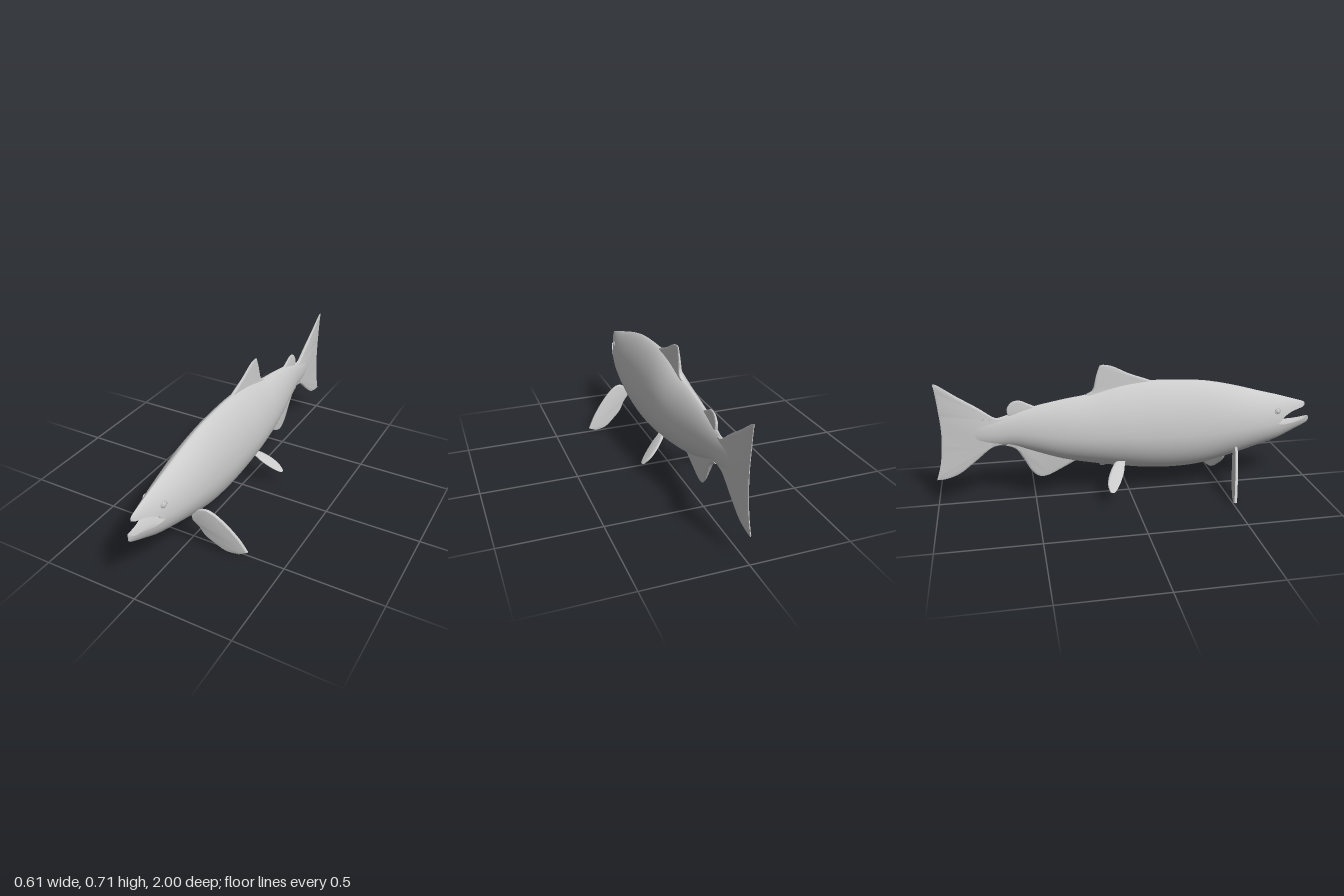
import * as THREE from 'three';
import { mergeVertices, toCreasedNormals } from 'three/addons/utils/BufferGeometryUtils.js';

const material = new THREE.MeshStandardMaterial({ color: 0xcccccc, side: THREE.DoubleSide });

// Body stations: z, belly y, back y, half width, lower lip y, upper lip y
const STATIONS = [
  [-0.84, 0.34, 0.43, 0.0, 0, 0],
  [-0.77, 0.325, 0.44, 0.011, 0, 0],
  [-0.68, 0.31, 0.457, 0.021, 0, 0],
  [-0.6, 0.3, 0.48, 0.033, 0, 0],
  [-0.5, 0.265, 0.508, 0.05, 0, 0],
  [-0.35, 0.212, 0.537, 0.074, 0, 0],
  [-0.2, 0.178, 0.56, 0.095, 0, 0],
  [-0.05, 0.15, 0.595, 0.108, 0, 0],
  [0.1, 0.128, 0.612, 0.11, 0, 0],
  [0.25, 0.12, 0.609, 0.109, 0, 0],
  [0.4, 0.13, 0.596, 0.105, 0, 0],
  [0.55, 0.165, 0.565, 0.098, 0, 0],
  [0.7, 0.207, 0.523, 0.08, 0.34, 0.34],
  [0.8, 0.236, 0.496, 0.06, 0.34, 0.34],
  [0.85, 0.256, 0.483, 0.049, 0.335, 0.378],
  [0.9, 0.28, 0.47, 0.037, 0.338, 0.4],
  [0.95, 0.303, 0.457, 0.025, 0.347, 0.411],
  [0.985, 0.322, 0.447, 0.014, 0.357, 0.417],
  [1.0, 0.338, 0.437, 0.0, 0.36, 0.424],
];
const MOUTH_Z = 0.8, ROWS = 10, STEPS = 4;

// Smoothly interpolated sections, each with a lower and an upper run of side points
function makeSections() {
  const curve = (a, b, c) => new THREE.CatmullRomCurve3(
    STATIONS.map(s => new THREE.Vector3(s[a], s[b], s[c])), false, 'catmullrom', 0.5);
  const outline = curve(0, 1, 2), lips = curve(3, 4, 5);
  const count = (STATIONS.length - 1) * STEPS;
  return Array.from({ length: count + 1 }, (_, i) => {
    const { x: z, y: lo, z: hi } = outline.getPoint(i / count);
    const lip = lips.getPoint(i / count);
    const w = Math.max(lip.x, 0), mid = lo + 0.43 * (hi - lo);
    const open = z > MOUTH_Z + 1e-4;
    const low = open ? lip.y : mid, high = open ? Math.max(lip.z, low) : mid;
    const angle = y => Math.asin(THREE.MathUtils.clamp(
      (y - mid) / (y > mid ? hi - mid : mid - lo), -1, 1));
    const run = (from, to, zz) => Array.from({ length: ROWS + 1 }, (_, j) => {
      const a = from + (to - from) * j / ROWS, s = Math.sin(a);
      return [w * Math.pow(Math.max(Math.cos(a), 0), 1.4),
        mid + s * (s > 0 ? hi - mid : mid - lo), zz];
    });
    // The upper jaw is a little shorter than the lower one
    const zUp = open ? MOUTH_Z + (z - MOUTH_Z) * 0.86 : z;
    return { z, open, gap: high - low,
      lower: run(-Math.PI / 2, angle(low), z), upper: run(angle(high), Math.PI / 2, zUp) };
  });
}

function surface(name, tris) {
  let g = new THREE.BufferGeometry();
  g.setAttribute('position', new THREE.Float32BufferAttribute(tris.flat(), 3));
  g = mergeVertices(g, 1e-4);
  g.computeVertexNormals();
  const mesh = new THREE.Mesh(g, material);
  mesh.name = name;
  return mesh;
}

const flip = p => [-p[0], p[1], p[2]];

function makeBody(sections) {
  const tris = [];
  for (let i = 0; i + 1 < sections.length; i++) {
    for (const part of ['lower', 'upper']) {
      const p = sections[i][part], q = sections[i + 1][part];
      for (let j = 0; j < ROWS; j++) {
        const [a, b, c, d] = [p[j], p[j + 1], q[j], q[j + 1]];
        tris.push(a, b, c, b, d, c);
        tris.push(...[a, c, b, b, c, d].map(flip));
      }
    }
  }
  return surface('body', tris);
}

// Roof or floor of the mouth, stretched between the two lips
function makeLining(name, sections, part, row, sign) {
  const tris = [];
  const head = sections.filter(s => s.z > MOUTH_Z - 1e-4);
  const strip = head.map(s => {
    const e = s[part][row];
    return [e, [0, e[1] + sign * Math.min(e[0], 0.25 * s.gap), e[2]], flip(e)];
  });
  for (let i = 0; i + 1 < strip.length; i++) {
    for (let k = 0; k < 2; k++) {
      const [a, b, c, d] = [strip[i][k], strip[i][k + 1], strip[i + 1][k], strip[i + 1][k + 1]];
      tris.push(...(sign > 0 ? [a, c, b, b, c, d] : [a, b, c, b, d, c]));
    }
  }
  return surface(name, tris);
}

// Thin blade from smooth outline runs; corners stay sharp between runs
function blade(runs, half) {
  const shape = new THREE.Shape();
  shape.moveTo(...runs[0][0]);
  runs.forEach((run, i) => {
    const pts = run.slice(i ? 0 : 1).map(p => new THREE.Vector2(...p));
    if (pts.length === 1) shape.lineTo(pts[0].x, pts[0].y);
    else shape.splineThru(pts);
  });
  const g = new THREE.ExtrudeGeometry(shape, {
    depth: half, bevelEnabled: true, bevelThickness: half / 2, bevelSize: half * 0.8,
    bevelOffset: -half * 0.8, bevelSegments: 2, curveSegments: 12,
  });
  return g.translate(0, 0, -half / 2);
}

function deform(g, rule) {
  const p = g.attributes.position;
  for (let i = 0; i < p.count; i++) p.setXYZ(i, ...rule(p.getX(i), p.getY(i), p.getZ(i)));
  return toCreasedNormals(g, 0.7);
}

// Fin on the centre plane, outlined in (z, y), thinning from root to edge
function medianFin(name, runs, half, thin) {
  const g = blade(runs, half).rotateY(-Math.PI / 2);
  const mesh = new THREE.Mesh(deform(g, (x, y, z) => [x * thin(y, z), y, z]), material);
  mesh.name = name;
  return mesh;
}

function pair(name, geometry) {
  const group = new THREE.Group();
  group.name = name + 's';
  for (const side of [1, -1]) {
    const mesh = new THREE.Mesh(geometry, material);
    mesh.scale.x = side;
    mesh.name = (side > 0 ? 'left ' : 'right ') + name;
    group.add(mesh);
  }
  return group;
}

export function createModel() {
  const model = new THREE.Group();
  model.name = 'fish';
  const ramp = THREE.MathUtils.mapLinear, clamp = THREE.MathUtils.clamp;
  const sections = makeSections();
  model.add(makeBody(sections),
    makeLining('mouth roof', sections, 'upper', 0, 1),
    makeLining('mouth floor', sections, 'lower', ROWS, -1));

  // Fins along the centre line
  model.add(medianFin('dorsal fin', [
    [[0.13, 0.6], [0.1, 0.617], [0, 0.655], [-0.08, 0.695], [-0.13, 0.707], [-0.152, 0.703]],
    [[-0.17, 0.65], [-0.188, 0.58], [-0.22, 0.557]], [[-0.2, 0.5]], [[0.1, 0.55]],
  ], 0.011, y => clamp(ramp(y, 0.56, 0.7, 1, 0.35), 0.3, 1)));
  model.add(medianFin('adipose fin', [
    [[-0.48, 0.505], [-0.52, 0.525], [-0.56, 0.543], [-0.6, 0.537], [-0.625, 0.505], [-0.625, 0.475]],
    [[-0.6, 0.44]], [[-0.5, 0.45]],
  ], 0.009, y => clamp(ramp(y, 0.48, 0.54, 1, 0.5), 0.4, 1)));
  model.add(medianFin('anal fin', [
    [[-0.28, 0.2], [-0.36, 0.158], [-0.43, 0.125], [-0.48, 0.125], [-0.52, 0.165],
      [-0.55, 0.22], [-0.59, 0.285], [-0.64, 0.308]],
    [[-0.58, 0.36]], [[-0.32, 0.28]],
  ], 0.014, y => clamp(ramp(y, 0.28, 0.13, 1, 0.25), 0.25, 1)));
  model.add(medianFin('tail fin', [
    [[-0.64, 0.458], [-0.69, 0.46], [-0.77, 0.518], [-0.87, 0.585], [-0.95, 0.643], [-0.975, 0.653]],
    [[-0.965, 0.56], [-0.955, 0.4], [-0.968, 0.25], [-0.997, 0.142]],
    [[-0.95, 0.145], [-0.88, 0.17], [-0.8, 0.23], [-0.72, 0.295], [-0.68, 0.31], [-0.64, 0.315]],
  ], 0.011, (y, z) => clamp(ramp(z, -0.68, -0.95, 1, 0.3), 0.3, 1)));

  // Paired fins: pectorals swept slightly back, pelvics splayed outward
  const pectoral = blade([
    [[0.04, 0.205], [0.085, 0.242], [0.135, 0.236], [0.2, 0.18], [0.265, 0.097], [0.306, 0.022]],
    [[0.265, 0.002]], [[0.2, 0.01], [0.137, 0.055], [0.1, 0.09], [0.075, 0.135], [0.045, 0.17]],
  ], 0.008);
  model.add(pair('pectoral fin', deform(pectoral, (x, y, z) =>
    [x, y, z + 0.563 - 0.22 * (x - 0.05) + 0.06 * (y - 0.12)])));
  const pelvic = blade([
    [[-0.03, 0.2], [-0.08, 0.193], [-0.12, 0.15], [-0.137, 0.11], [-0.13, 0.08]],
    [[-0.105, 0.08], [-0.07, 0.115], [-0.045, 0.155], [-0.035, 0.185]],
  ], 0.008).rotateY(-Math.PI / 2);
  model.add(pair('pelvic fin', deform(pelvic, (x, y, z) => [x + 0.055 + (0.195 - y) * 1.08, y, z])));

  // Eyes: flattened balls inside a thin rim, facing outward and a little forward
  const place = g => g.rotateY(Math.PI / 2 - 0.2).translate(0.052, 0.415, 0.8);
  model.add(pair('eye', place(new THREE.SphereGeometry(0.015, 20, 14).scale(1, 1, 0.5))));
  model.add(pair('eye rim', place(new THREE.TorusGeometry(0.016, 0.003, 8, 24))));
  return model;
}
